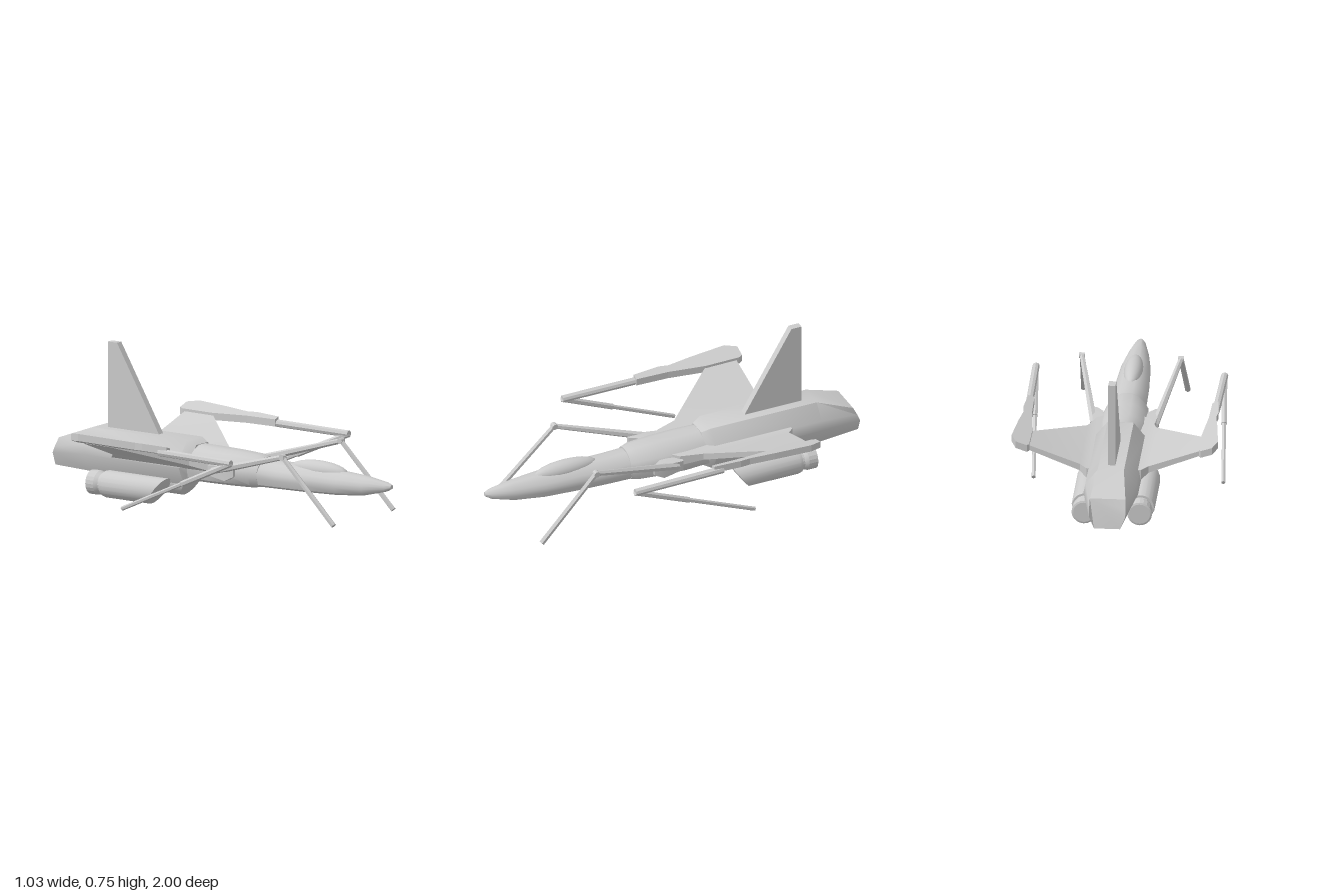
import * as THREE from 'three';
import { toCreasedNormals } from 'three/addons/utils/BufferGeometryUtils.js';

const grey = new THREE.MeshStandardMaterial({ color: 0xcccccc });

function add(parent, name, geometry) {
  const mesh = new THREE.Mesh(geometry, grey);
  mesh.name = name;
  parent.add(mesh);
  return mesh;
}

// Closed skin through loops of [x, y, z] points, always facing outward
function loft(loops, crease = 0.75) {
  const n = loops[0].length, pos = loops.flat(2), tris = [];
  for (let i = 0; i < loops.length - 1; i++) {
    for (let j = 0; j < n; j++) {
      const k = (j + 1) % n, a = i * n + j, b = i * n + k;
      tris.push([a, a + n, b + n], [a, b + n, b]);
    }
  }
  const last = (loops.length - 1) * n;
  for (let j = 1; j < n - 1; j++) {
    tris.push([0, j, j + 1], [last, last + j + 1, last + j]);
  }
  const at = (i) => new THREE.Vector3().fromArray(pos, i * 3);
  let volume = 0;
  for (const [a, b, c] of tris) volume += at(a).dot(at(b).cross(at(c)));
  if (volume < 0) tris.forEach((t) => t.reverse());
  const g = new THREE.BufferGeometry();
  g.setAttribute('position', new THREE.Float32BufferAttribute(pos, 3));
  g.setIndex(tris.flat());
  return toCreasedNormals(g, crease);
}

// Symmetric section from a right-hand half given top to bottom
const mirrorLoop = (half) => [...half, ...half.map(([x, y, z]) => [-x, y, z]).reverse()];

// Section scaled from a unit half profile
const section = (profile, [z, top, w, bottom]) =>
  mirrorLoop(profile.map(([u, v]) => [u * w, bottom + v * (top - bottom), z]));

// Straight strut between two points
function strut(parent, name, a, b, r0, r1 = r0, sides = 6) {
  const from = new THREE.Vector3(...a), to = new THREE.Vector3(...b);
  const dir = to.clone().sub(from);
  const g = new THREE.CylinderGeometry(r1, r0, dir.length(), sides).toNonIndexed();
  const mesh = add(parent, name, toCreasedNormals(g, 0.6));
  mesh.position.copy(from).add(to).multiplyScalar(0.5);
  mesh.quaternion.setFromUnitVectors(new THREE.Vector3(0, 1, 0), dir.normalize());
}

function buildFuselage(root) {
  const g = new THREE.Group();
  g.name = 'fuselage';
  root.add(g);
  const round = [[0.25, 1], [0.55, 0.92], [0.85, 0.72], [1, 0.55], [1, 0.35], [0.88, 0.1], [0.6, 0]];
  const nose = [
    [1, 0.236, 0.01, 0.217], [0.97, 0.246, 0.026, 0.2], [0.85, 0.262, 0.052, 0.17], [0.7, 0.27, 0.073, 0.157],
    [0.5, 0.275, 0.083, 0.15], [0.35, 0.274, 0.086, 0.147], [0.18, 0.28, 0.086, 0.143],
  ];
  add(g, 'nose', loft(nose.map((s) => section(round, s))));

  const canopy = add(g, 'canopy', new THREE.SphereGeometry(1, 20, 12));
  canopy.scale.set(0.047, 0.048, 0.17);
  canopy.position.set(0, 0.259, 0.56);

  const middle = [
    [0.24, 0.285, 0.088, 0.143], [0.2, 0.295, 0.104, 0.138], [0.08, 0.3, 0.118, 0.135],
    [-0.05, 0.302, 0.122, 0.133], [-0.18, 0.304, 0.106, 0.13],
  ];
  add(g, 'midBody', loft(middle.map((s) => section(round, s))));

  // Faceted rear hull with a sloping tail end
  const hull = [[0.48, 1], [0.93, 0.65], [1, 0.42], [0.68, 0]];
  const rear = [[-0.155, 0.306, 0.102, 0.128], [-0.2, 0.325, 0.135, 0.11], [-0.775, 0.325, 0.135, 0.11]]
    .map((s) => section(hull, s));
  rear.push(mirrorLoop([[0.088, 0.255, -0.963], [0.09, 0.21, -0.985], [0.09, 0.175, -1], [0.065, 0.11, -1]]));
  add(g, 'rearBody', loft(rear));

  // Tail fin
  const fin = new THREE.Shape([[0.39, 0.3], [0.66, 0.755], [0.715, 0.755], [0.715, 0.3]]
    .map(([z, y]) => new THREE.Vector2(z, y)));
  const finGeometry = new THREE.ExtrudeGeometry(fin, { depth: 0.036, bevelEnabled: false });
  finGeometry.rotateY(Math.PI / 2).translate(-0.018, 0, 0);
  add(g, 'tailFin', finGeometry);
}

// Wing, tip pod and folded rear arm on one side
function buildWing(root, s) {
  const g = new THREE.Group();
  g.name = s > 0 ? 'leftWing' : 'rightWing';
  root.add(g);
  const rib = ([x, front, back, top, bottom]) =>
    [[s * x, top, front], [s * x, bottom, front], [s * x, bottom, back], [s * x, top, back]];
  const ribs = [
    [0.09, 0.04, -0.61, 0.255, 0.19], [0.135, 0, -0.61, 0.257, 0.205],
    [0.17, -0.11, -0.575, 0.263, 0.228], [0.435, -0.41, -0.565, 0.355, 0.33],
  ];
  add(g, 'wingPanel', loft(ribs.map(rib), 0.3));

  const outline = [
    [0.42, -0.58], [0.43, -0.6], [0.485, -0.6], [0.51, -0.54], [0.492, -0.35], [0.475, -0.22],
    [0.482, -0.17], [0.47, -0.03], [0.44, -0.03], [0.437, -0.2], [0.418, -0.4],
  ];
  const shape = new THREE.Shape(outline.map(([x, z]) => new THREE.Vector2(s * x, -z)));
  const pod = new THREE.ExtrudeGeometry(shape, { depth: 0.036, bevelEnabled: false }).rotateX(-Math.PI / 2);
  const p = pod.attributes.position;
  for (let i = 0; i < p.count; i++) {
    p.setY(i, p.getY(i) + 0.33 + (Math.abs(p.getX(i)) - 0.43) * 0.33);
  }
  pod.computeVertexNormals();
  add(g, 'tipPod', pod);

  // The two arms are posed slightly differently
  const elbow = s > 0 ? [0.468, 0.343, 0.4] : [-0.468, 0.343, 0.36];
  const foot = s > 0 ? [0.424, 0.045, -0.27] : [-0.514, 0.05, -0.27];
  const mid = elbow.map((v, i) => v + (foot[i] - v) * 0.45);
  strut(g, 'rearArmUpper', [s * 0.462, 0.347, -0.08], elbow, 0.019, 0.018, 8);
  strut(g, 'rearArmLower', elbow, mid, 0.015);
  strut(g, 'rearArmTip', mid, foot, 0.011);
}

function buildFrontLeg(root, s) {
  const g = new THREE.Group();
  g.name = s > 0 ? 'leftFrontLeg' : 'rightFrontLeg';
  root.add(g);
  const knee = s > 0 ? [0.25, 0.358, 0.51] : [-0.24, 0.356, 0.51];
  const foot = s > 0 ? [0.268, 0.045, 0.815] : [-0.247, 0.05, 0.825];
  // Hip fairing against the hull
  const hip = [[0.15, 0.145, 0.16, 0.2, 0.245], [0.1, 0.11, 0.166, 0.175, 0.248], [-0.01, 0.1, 0.155, 0.19, 0.24]]
    .map(([z, x0, x1, y0, y1]) => [[s * x0, y0, z], [s * x1, y0, z], [s * x1, y1, z], [s * x0, y1, z]]);
  add(g, 'hip', loft(hip, 0.3));
  strut(g, 'upperLeg', [s * 0.15, 0.215, 0.02], knee, 0.02, 0.013);
  strut(g, 'kneeJoint', [knee[0] - 0.014, knee[1], knee[2]], [knee[0] + 0.014, knee[1], knee[2]], 0.015, 0.015, 10);
  strut(g, 'lowerLeg', knee, foot, 0.013, 0.014);
}

function buildEngine(root, s) {
  const g = new THREE.Group();
  g.name = s > 0 ? 'leftEngine' : 'rightEngine';
  g.position.set(s * 0.138, 0.07, 0);
  root.add(g);
  // Pod with a raked intake face
  const circle = (r, z, rake = 0) => Array.from({ length: 20 }, (_, i) => {
    const a = (i / 20) * Math.PI * 2, y = r * Math.sin(a);
    return [r * Math.cos(a), y, z + y * rake];
  });
  add(g, 'enginePod', loft([
    circle(0.048, -0.31, 0.7), circle(0.068, -0.315, 0.7), circle(0.068, -0.625), circle(0.064, -0.64),
  ], 0.4));
  add(g, 'nozzle', loft([
    circle(0.053, -0.63), circle(0.053, -0.655), circle(0.061, -0.675), circle(0.061, -0.722), circle(0.052, -0.725),
  ], 0.3));
}

export function createModel() {
  const model = new THREE.Group();
  model.name = 'aircraft';
  buildFuselage(model);
  for (const side of [1, -1]) {
    buildWing(model, side);
    buildFrontLeg(model, side);
    buildEngine(model, side);
  }
  return model;
}
